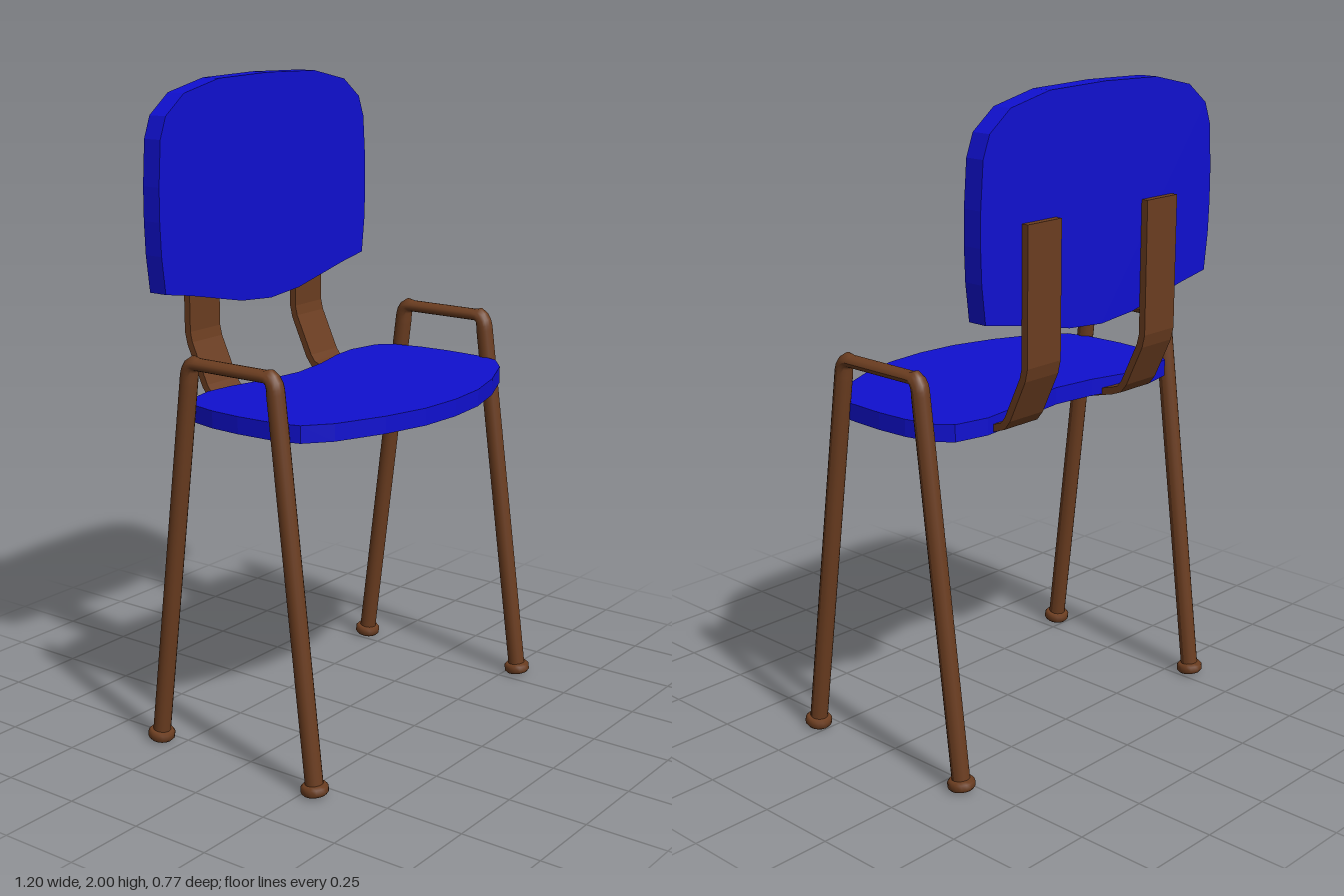
import * as THREE from 'three';

const blue = new THREE.MeshStandardMaterial({ color: 0x1010d0 });
const brown = new THREE.MeshStandardMaterial({ color: 0x6b3d20 });

function mesh(name, geometry, material) {
  const m = new THREE.Mesh(geometry, material);
  m.name = name;
  return m;
}

// Closed outline from a right half that starts and ends on the centre line
function mirroredShape(half) {
  const left = half.slice(1, -1).reverse().map(([x, y]) => [-x, y]);
  return new THREE.Shape([...half, ...left].map(([x, y]) => new THREE.Vector2(x, y)));
}

// Flat strip of constant thickness following a path in the (z, y) plane
function stripShape(path, thickness) {
  const p = path.map(([z, y]) => new THREE.Vector2(z, y));
  const upper = [], lower = [];
  p.forEach((pt, i) => {
    const a = p[Math.max(i - 1, 0)], b = p[Math.min(i + 1, p.length - 1)];
    const t = b.clone().sub(a).normalize();
    const n = new THREE.Vector2(-t.y, t.x).multiplyScalar(thickness / 2);
    upper.push(pt.clone().add(n));
    lower.unshift(pt.clone().sub(n));
  });
  return new THREE.Shape([...upper, ...lower]);
}

// Bent tube: front leg, top rail and rear leg in one piece, with feet
function sideFrame(side) {
  const group = new THREE.Group();
  group.name = side > 0 ? 'leftLegFrame' : 'rightLegFrame';
  const v = (x, y, z) => new THREE.Vector3(side * x, y, z);
  const railY = 1.212;
  const frontFoot = v(0.558, 0.008, 0.287), frontTop = v(0.54, 1.175, 0.142);
  const rearFoot = v(0.54, 0.008, -0.324), rearTop = v(0.54, 1.175, -0.175);
  const railFront = v(0.54, railY, 0.105), railRear = v(0.54, railY, -0.14);

  const path = new THREE.CurvePath();
  path.add(new THREE.LineCurve3(frontFoot, frontTop));
  path.add(new THREE.QuadraticBezierCurve3(frontTop, v(0.54, railY, 0.137), railFront));
  path.add(new THREE.LineCurve3(railFront, railRear));
  path.add(new THREE.QuadraticBezierCurve3(railRear, v(0.54, railY, -0.17), rearTop));
  path.add(new THREE.LineCurve3(rearTop, rearFoot));
  const tube = new THREE.TubeGeometry(path, 200, 0.027, 16);

  // Flatten the rail slightly
  const pos = tube.attributes.position;
  for (let i = 0; i < pos.count; i++) {
    const y = pos.getY(i);
    if (y > 1.17 && pos.getZ(i) < 0.125 && pos.getZ(i) > -0.16) {
      pos.setY(i, railY + (y - railY) * 0.68);
    }
  }
  tube.computeVertexNormals();
  group.add(mesh('legTube', tube, brown));

  // Chamfered feet aligned with the legs
  const profile = [[0, 0], [0.034, 0], [0.041, 0.008], [0.041, 0.024], [0.034, 0.032], [0, 0.032]];
  const footShape = profile.map(([r, y]) => new THREE.Vector2(r, y));
  for (const [name, foot, top] of [['frontFoot', frontFoot, frontTop], ['rearFoot', rearFoot, rearTop]]) {
    const m = mesh(name, new THREE.LatheGeometry(footShape, 16), brown);
    m.position.copy(foot);
    m.quaternion.setFromUnitVectors(new THREE.Vector3(0, 1, 0), top.clone().sub(foot).normalize());
    group.add(m);
  }
  return group;
}

export function createModel() {
  const chair = new THREE.Group();
  chair.name = 'chair';

  // Seat panel, outline in (x, z)
  const seatShape = mirroredShape([
    [0, -0.2], [0.14, -0.218], [0.27, -0.252], [0.36, -0.262], [0.47, -0.24], [0.51, -0.19],
    [0.53, -0.1], [0.536, 0], [0.53, 0.13], [0.51, 0.205], [0.435, 0.268], [0.283, 0.335],
    [0.14, 0.375], [0, 0.386],
  ]);
  const seatGeo = new THREE.ExtrudeGeometry(seatShape, { depth: 0.052, bevelEnabled: false });
  seatGeo.rotateX(Math.PI / 2);
  const seat = mesh('seat', seatGeo, blue);
  seat.position.y = 1.08;
  chair.add(seat);

  // Backrest panel, outline in (x, y)
  const backShape = mirroredShape([
    [0, 1.305], [0.14, 1.317], [0.27, 1.345], [0.37, 1.367], [0.483, 1.387], [0.497, 1.5],
    [0.501, 1.6], [0.5, 1.7], [0.49, 1.835], [0.465, 1.9], [0.385, 1.96], [0.23, 1.994],
    [0, 2.0],
  ]);
  const backrest = mesh('backrest',
    new THREE.ExtrudeGeometry(backShape, { depth: 0.062, bevelEnabled: false }), blue);
  backrest.position.set(-0.005, 0, -0.367);
  chair.add(backrest);

  // Bent flat brackets joining the seat to the backrest
  const bracketShape = stripShape([
    [0.02, 1.012], [-0.14, 1.012], [-0.2, 1.028], [-0.265, 1.045], [-0.295, 1.056], [-0.313, 1.08],
    [-0.37, 1.205], [-0.378, 1.24], [-0.378, 1.645],
  ], 0.022);
  for (const [name, x] of [['rightBracket', -0.247], ['leftBracket', 0.266]]) {
    const geo = new THREE.ExtrudeGeometry(bracketShape, { depth: 0.138, bevelEnabled: false });
    geo.translate(0, 0, -0.069).rotateY(-Math.PI / 2);
    const bracket = mesh(name, geo, brown);
    bracket.position.x = x;
    chair.add(bracket);
  }

  for (const side of [-1, 1]) chair.add(sideFrame(side));
  return chair;
}
